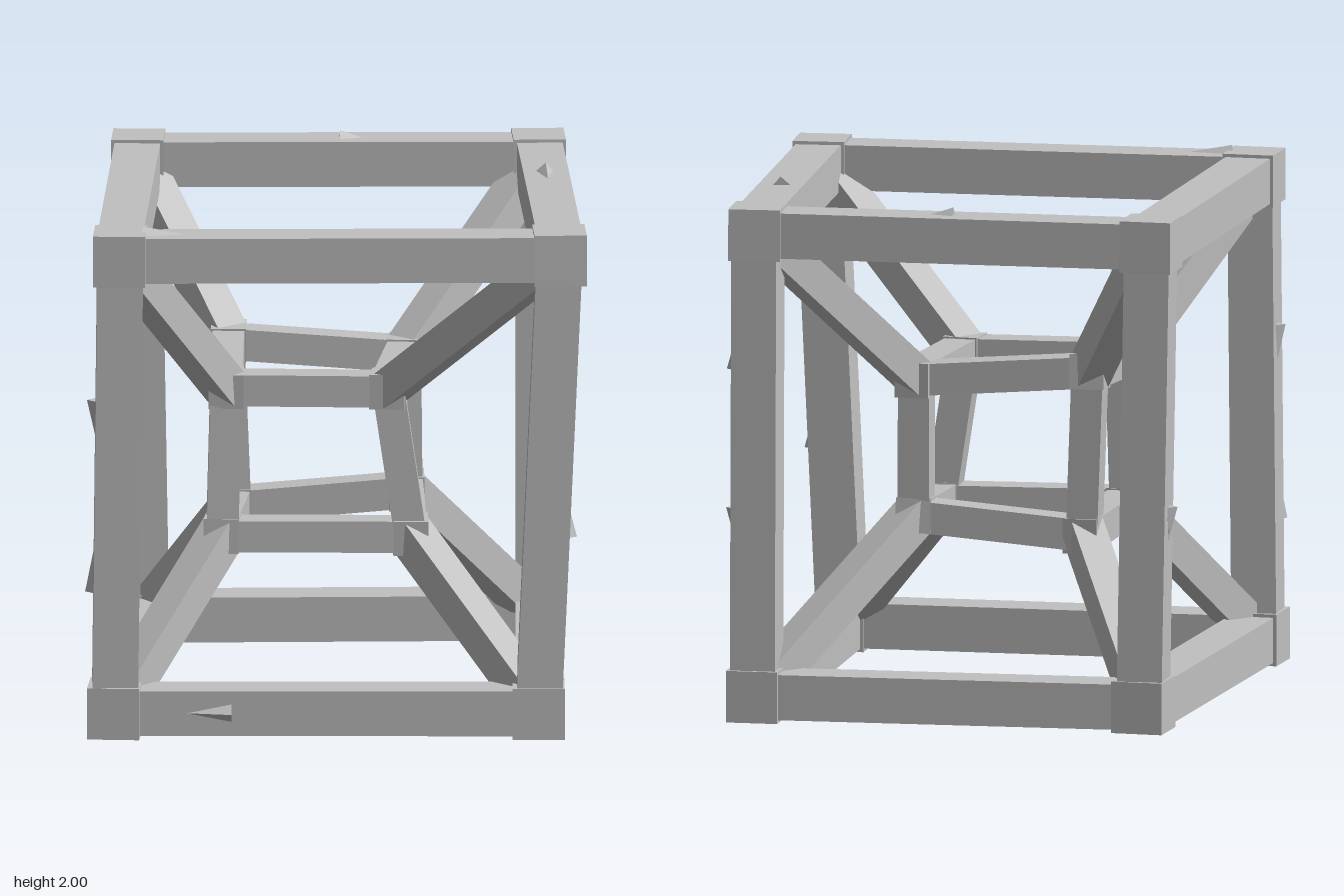
import * as THREE from 'three';

const V = (p) => new THREE.Vector3(...p);

// Corners ordered: bit 0 = +x, bit 1 = top, bit 2 = front
const OUTER = [
  [-0.72, 0.1, -0.83], [0.78, 0.1, -0.855], [-0.75, 1.885, -0.83], [0.78, 1.885, -0.825],
  [-0.855, 0.1, 0.82], [0.765, 0.1, 0.84], [-0.835, 1.875, 0.84], [0.845, 1.875, 0.835],
];
const INNER = [
  [-0.385, 0.66, -0.27], [0.27, 0.715, -0.27], [-0.41, 1.295, -0.285], [0.265, 1.245, -0.285],
  [-0.44, 0.68, 0.34], [0.28, 0.675, 0.335], [-0.425, 1.25, 0.33], [0.195, 1.245, 0.34],
];

export function createModel() {
  const model = new THREE.Group();
  const grey = new THREE.MeshStandardMaterial({ color: 0xc0c0c0, flatShading: true });

  // Square bar between two points
  function bar(a, b, size, name, parent, upright = false, extra = 0) {
    const p = V(a), q = V(b);
    const mesh = new THREE.Mesh(new THREE.BoxGeometry(size, size, p.distanceTo(q) + extra), grey);
    mesh.position.copy(p).lerp(q, 0.5);
    if (upright) mesh.up.set(0, 0, 1);
    mesh.lookAt(q);
    mesh.name = name;
    parent.add(mesh);
  }

  // Twelve bars and eight corner blocks of a skewed cube
  function frame(corners, barSize, blockSize, name) {
    const group = new THREE.Group();
    group.name = name;
    corners.forEach((c, i) => {
      for (const bit of [1, 2, 4]) {
        if (!(i & bit)) bar(c, corners[i | bit], barSize, name + 'Bar', group, bit === 2);
      }
      const block = new THREE.Mesh(new THREE.BoxGeometry(blockSize, blockSize, blockSize), grey);
      block.position.set(...c);
      // turn each block along its front-to-back bar
      const dir = V(corners[i | 4]).sub(V(corners[i & 3]));
      block.lookAt(V(c).add(dir));
      block.name = name + 'Corner';
      group.add(block);
    });
    model.add(group);
  }
  frame(OUTER, 0.175, 0.2, 'outerFrame');
  frame(INNER, 0.122, 0.135, 'innerFrame');

  // Diagonal struts joining the two frames
  const struts = new THREE.Group();
  struts.name = 'diagonalStruts';
  OUTER.forEach((c, i) => bar(INNER[i], c, 0.13, 'diagonalStrut', struts, false, 0.04));
  model.add(struts);

  // Small pointers half sunk into the outer bars: base centre, tip
  const pointers = [
    [[-0.41, 0.105, 0.925], [-0.58, 0.105, 0.925]],
    [[0.02, 1.968, -0.82], [0.12, 1.968, -0.82]],
    [[0.8, 1.968, -0.24], [0.81, 1.966, -0.1]],
    [[-0.75, 1.96, 0.845], [-0.57, 1.96, 0.845]],
    [[0.868, 1.35, -0.82], [0.868, 1.47, -0.82]],
    [[0.868, 0.815, -0.835], [0.868, 0.69, -0.835]],
    [[0.878, 0.775, 0.83], [0.884, 0.88, 0.83]],
    [[-0.928, 1.31, 0.82], [-0.928, 1.16, 0.82]],
    [[-0.935, 0.56, 0.82], [-0.935, 0.73, 0.82]],
    [[-0.82, 0.87, -0.83], [-0.82, 0.74, -0.83]],
  ];
  const up = new THREE.Vector3(0, 1, 0);
  for (const [base, tip] of pointers) {
    const p = V(base), q = V(tip), length = p.distanceTo(q);
    const cone = new THREE.Mesh(new THREE.ConeGeometry(0.034, length, 4), grey);
    cone.position.copy(p).lerp(q, 0.5);
    cone.quaternion.setFromUnitVectors(up, q.clone().sub(p).normalize());
    cone.name = 'pointer';
    model.add(cone);
  }
  return model;
}
